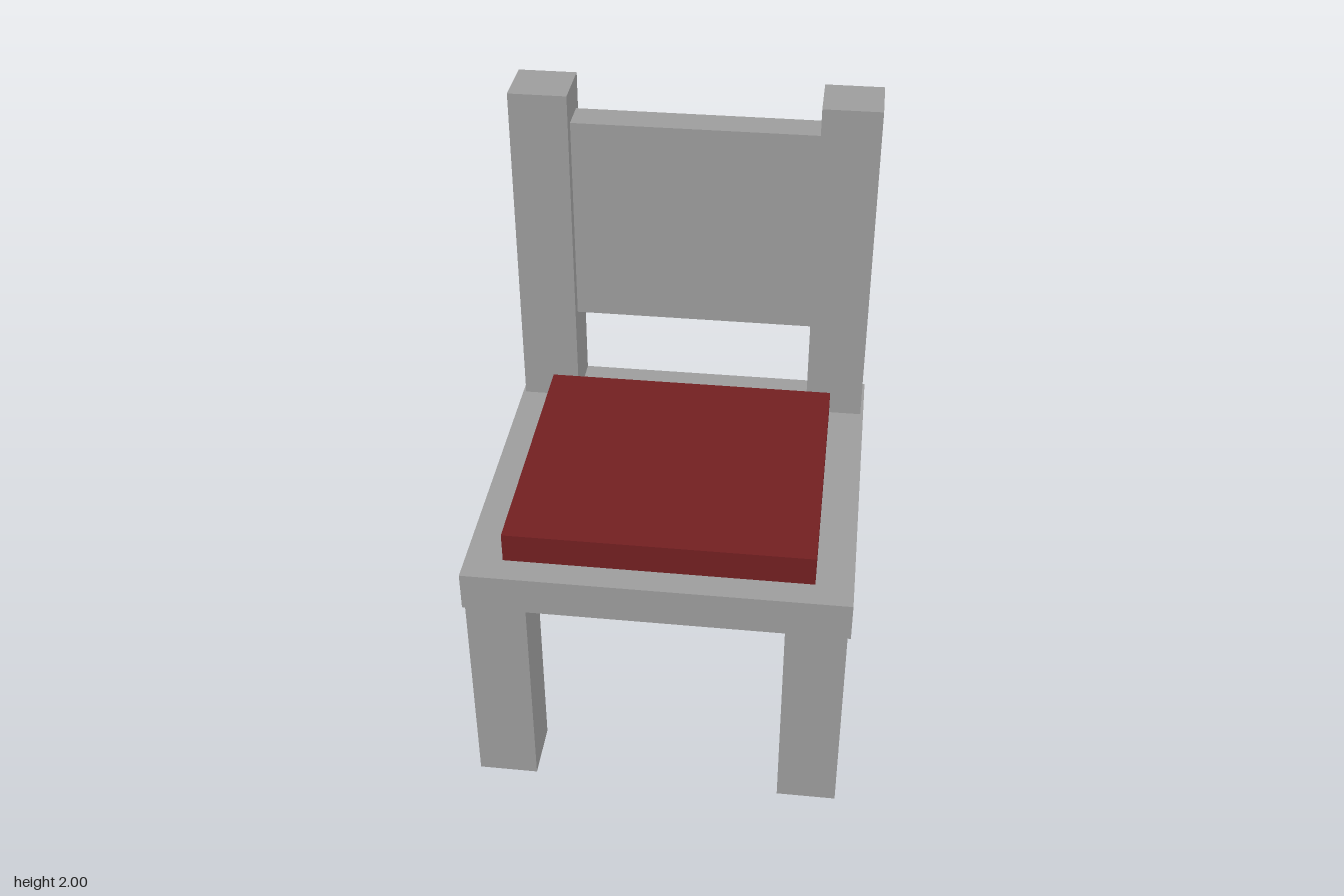
import * as THREE from 'three';

export function createModel() {
  const chair = new THREE.Group();
  chair.name = 'chair';

  const grey = new THREE.MeshStandardMaterial({ color: 0xa0a0a0 });
  grey.name = 'grey frame';
  const red = new THREE.MeshStandardMaterial({ color: 0x752022 });
  red.name = 'dark red cushion';

  // Box given by its extents along each axis
  function box(name, [x0, x1], [y0, y1], [z0, z1], material) {
    const mesh = new THREE.Mesh(new THREE.BoxGeometry(x1 - x0, y1 - y0, z1 - z0), material);
    mesh.position.set((x0 + x1) / 2, (y0 + y1) / 2, (z0 + z1) / 2);
    mesh.name = name;
    chair.add(mesh);
  }

  // Seat slab and cushion
  box('seat', [-0.61, 0.61], [0.72, 0.85], [-0.61, 0.61], grey);
  box('cushion', [-0.49, 0.49], [0.85, 0.95], [-0.39, 0.52], red);

  // Short front legs, and back posts running from floor to top
  for (const [side, x] of [['left', [0.407, 0.6]], ['right', [-0.6, -0.407]]]) {
    box(side + 'FrontLeg', x, [0, 0.72], [0.417, 0.61], grey);
    box(side + 'BackPost', x, [0, 2], [-0.61, -0.417], grey);
  }

  // Panel between the posts
  box('backrest', [-0.407, 0.407], [1.175, 1.89], [-0.573, -0.458], grey);

  return chair;
}
